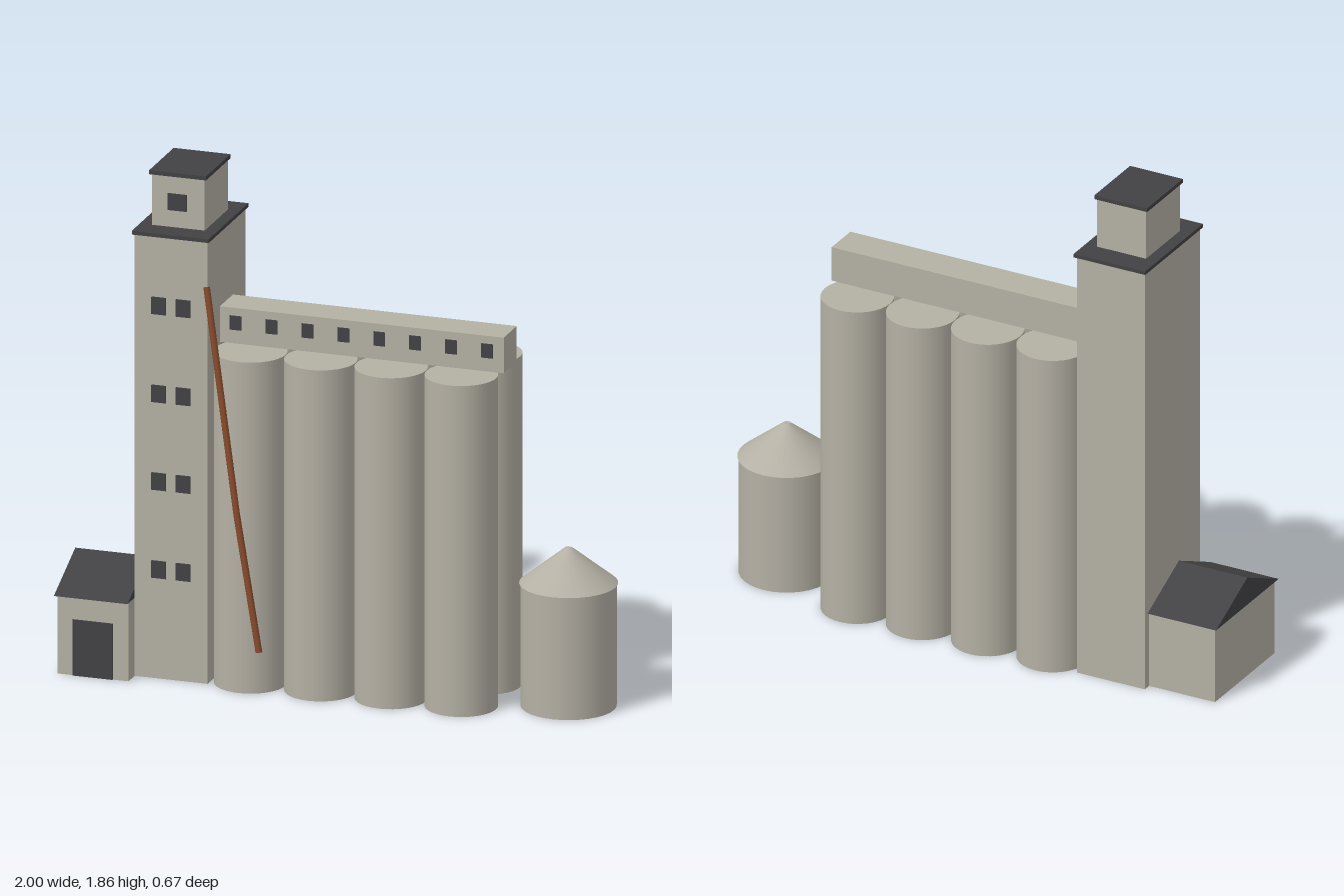
import * as THREE from 'three';

export function createModel() {
  const model = new THREE.Group();
  model.name = 'grainElevator';
  const material = (name, color) => {
    const m = new THREE.MeshStandardMaterial({ color });
    m.name = name;
    return m;
  };
  const concrete = material('concrete', 0xb4b0a4);
  const dark = material('dark roofing', 0x424244);
  const rust = material('rusty steel', 0x84492b);

  const add = (name, geometry, mat, x = 0, y = 0, z = 0) => {
    const mesh = new THREE.Mesh(geometry, mat);
    mesh.name = name;
    mesh.position.set(x, y, z);
    model.add(mesh);
    return mesh;
  };
  // box given by its limits on each axis
  const block = (name, mat, [x0, x1], [y0, y1], [z0, z1]) =>
    add(name, new THREE.BoxGeometry(x1 - x0, y1 - y0, z1 - z0), mat,
      (x0 + x1) / 2, (y0 + y1) / 2, (z0 + z1) / 2);
  // thin dark plate on a wall that faces +z
  const plate = (name, x, y, z, w, h) =>
    add(name, new THREE.BoxGeometry(w, h, 0.008), dark, x, y, z + 0.001);

  const axisZ = -0.078;

  // two rows of four tall silos
  for (const side of [-1, 1]) {
    for (let i = 0; i < 4; i++) {
      add('silo', new THREE.CylinderGeometry(0.13, 0.13, 1.23, 32), concrete,
        -0.316 + i * 0.262, 0.615, axisZ + side * 0.13);
    }
  }

  // conveyor gallery over the silos
  block('gallery', concrete, [-0.455, 0.607], [1.23, 1.362], [axisZ - 0.069, axisZ + 0.069]);
  for (let i = 0; i < 8; i++) {
    plate('galleryWindow', -0.394 + i * 0.1343, 1.307, axisZ + 0.069, 0.043, 0.052);
  }

  // head house tower with its roof slab
  block('tower', concrete, [-0.725, -0.452], [0, 1.642], [-0.282, 0.122]);
  block('towerRoof', dark, [-0.732, -0.445], [1.642, 1.656], [-0.292, 0.132]);
  for (const y of [0.405, 0.732, 1.058, 1.385]) {
    for (const x of [-0.634, -0.543]) plate('towerWindow', x, y, 0.122, 0.054, 0.064);
  }

  // cupola on the tower
  block('cupola', concrete, [-0.687, -0.49], [1.656, 1.845], [-0.203, 0.045]);
  block('cupolaRoof', dark, [-0.695, -0.483], [1.845, 1.86], [-0.21, 0.052]);
  plate('cupolaWindow', -0.592, 1.75, 0.045, 0.07, 0.062);

  // shed beside the tower
  block('shed', concrete, [-0.99, -0.725], [0, 0.29], [-0.251, 0.187]);
  plate('shedDoor', -0.858, 0.104, 0.187, 0.15, 0.208);

  // gabled shed roof: triangle in z and y, extruded along x
  const gable = new THREE.Shape();
  gable.moveTo(-0.23, 0);
  gable.lineTo(0.23, 0);
  gable.lineTo(0, 0.107);
  const roof = new THREE.ExtrudeGeometry(gable, { depth: 0.275, bevelEnabled: false });
  roof.rotateY(-Math.PI / 2);
  add('shedRoof', roof, dark, -0.725, 0.29, -0.032);

  // small grain bin with a conical roof
  add('bin', new THREE.CylinderGeometry(0.17, 0.17, 0.455, 32), concrete, 0.825, 0.2275, axisZ);
  add('binRoof', new THREE.CylinderGeometry(0.013, 0.175, 0.13, 32), concrete, 0.825, 0.52, axisZ);

  // loading spout: straight pipes between bend points
  const bends = [[-0.455, 1.475, 0.125], [-0.295, 0.69, 0.262], [-0.19, 0.21, 0.325]]
    .map((p) => new THREE.Vector3(...p));
  for (let i = 0; i < bends.length - 1; i++) {
    const run = bends[i + 1].clone().sub(bends[i]);
    const mid = bends[i].clone().addScaledVector(run, 0.5);
    const pipe = add('spout', new THREE.CylinderGeometry(0.012, 0.012, run.length(), 10),
      rust, mid.x, mid.y, mid.z);
    pipe.quaternion.setFromUnitVectors(new THREE.Vector3(0, 1, 0), run.normalize());
  }

  return model;
}
